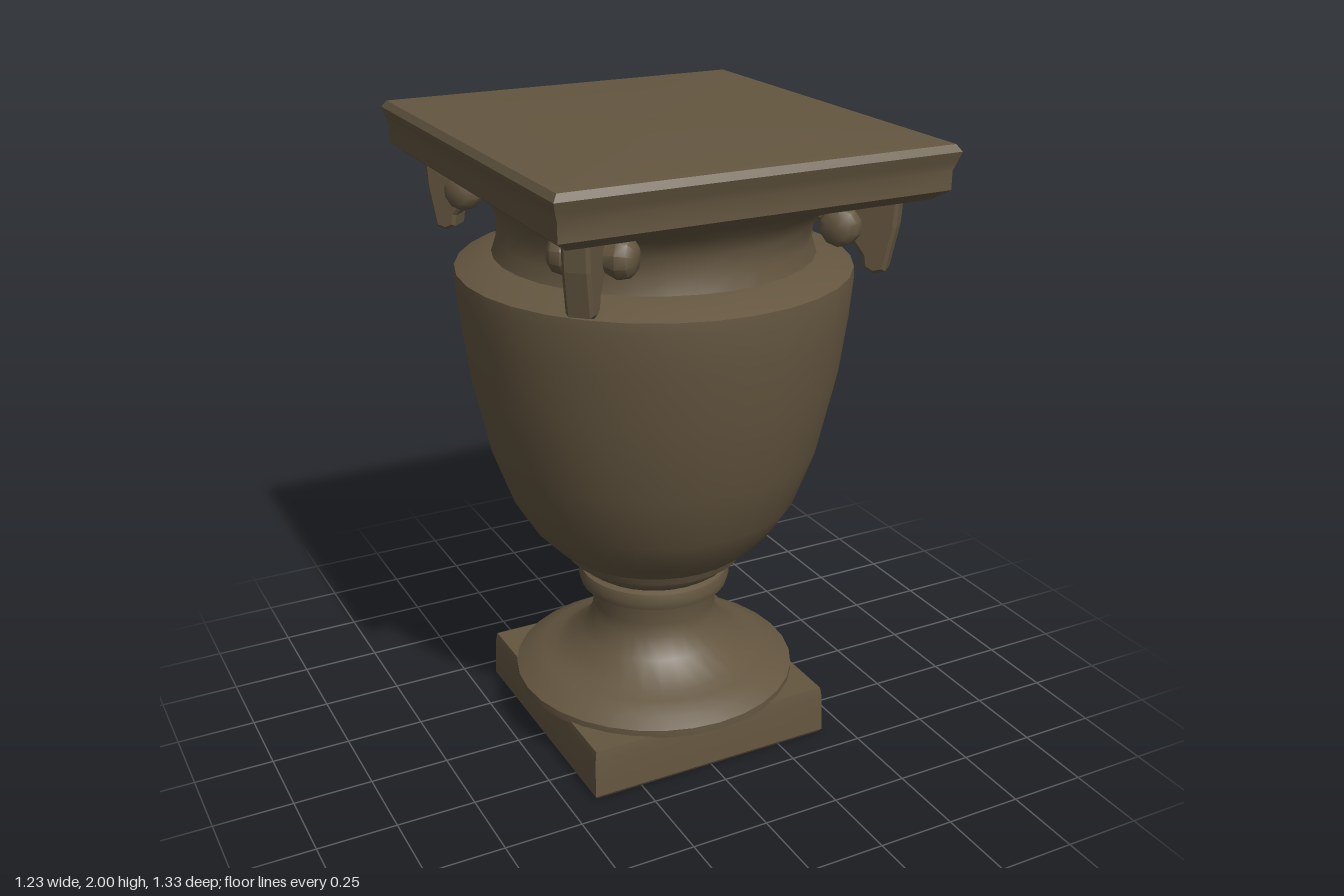
import * as THREE from 'three';
import { mergeVertices, toCreasedNormals } from 'three/addons/utils/BufferGeometryUtils.js';

const SIDES = 32;

// Loft through rings [y, halfX, halfZ, squareness]: 0 is an ellipse, 1 a rectangle
function loft(rings, crease = 0.6) {
  const pos = [], index = [];
  for (const [y, hx, hz, sq] of rings) {
    for (let j = 0; j < SIDES; j++) {
      const a = (j / SIDES) * Math.PI * 2, c = Math.cos(a), s = Math.sin(a);
      const k = 1 + sq * (1 / Math.max(Math.abs(c), Math.abs(s)) - 1);
      pos.push(c * k * hx, y, s * k * hz);
    }
  }
  for (let i = 0; i < rings.length - 1; i++) {
    for (let j = 0; j < SIDES; j++) {
      const n = (j + 1) % SIDES, a = i * SIDES, b = a + SIDES;
      index.push(a + j, b + j, a + n, b + j, b + n, a + n);
    }
  }
  const g = new THREE.BufferGeometry();
  g.setAttribute('position', new THREE.Float32BufferAttribute(pos, 3));
  g.setIndex(index);
  return toCreasedNormals(g, crease);
}

// Round part from [radius, y] points, bottom to top
function turned(points) {
  const g = new THREE.LatheGeometry(points.map(([r, y]) => new THREE.Vector2(r, y)), SIDES);
  g.deleteAttribute('normal');
  g.deleteAttribute('uv');
  return toCreasedNormals(mergeVertices(g), 0.6);
}

export function createModel() {
  const model = new THREE.Group();
  model.name = 'urn';
  const stone = new THREE.MeshStandardMaterial({ color: 0x645640 });
  stone.name = 'brown stone';

  const add = (name, geometry, parent = model) => {
    const mesh = new THREE.Mesh(geometry, stone);
    mesh.name = name;
    parent.add(mesh);
    return mesh;
  };

  // Square plinth
  add('plinth', loft([
    [0, 0.001, 0.001, 1], [0, 0.405, 0.405, 1], [0.012, 0.413, 0.413, 1],
    [0.14, 0.41, 0.41, 1], [0.17, 0.405, 0.405, 1], [0.17, 0.001, 0.001, 1],
  ]));

  // Flared round foot and stem
  add('foot', turned([
    [0.001, 0.155], [0.42, 0.155], [0.46, 0.165], [0.46, 0.19], [0.42, 0.215],
    [0.37, 0.24], [0.33, 0.25], [0.24, 0.31], [0.205, 0.38], [0.2, 0.42], [0.215, 0.5],
  ]));

  // Collar mouldings below the bowl
  add('collar', turned([
    [0.2, 0.49], [0.24, 0.495], [0.247, 0.52], [0.24, 0.548], [0.222, 0.555],
    [0.25, 0.575], [0.262, 0.6], [0.29, 0.61], [0.305, 0.645], [0.25, 0.66],
  ]));

  // Bowl with sloping shoulder
  add('bowl', turned([
    [0.2, 0.645], [0.315, 0.645], [0.345, 0.67], [0.4, 0.73], [0.455, 0.82], [0.52, 1.0],
    [0.572, 1.24], [0.595, 1.42], [0.605, 1.54], [0.603, 1.575], [0.52, 1.61], [0.46, 1.62],
  ]));

  // Neck spreading from round to the square lid
  add('neck', loft([
    [1.6, 0.495, 0.495, 0], [1.66, 0.475, 0.475, 0], [1.72, 0.47, 0.475, 0.05],
    [1.77, 0.48, 0.495, 0.2], [1.81, 0.51, 0.54, 0.55], [1.85, 0.56, 0.61, 1],
  ], 1));

  // Moulded square lid
  add('lid', loft([
    [1.84, 0.001, 0.001, 1], [1.835, 0.56, 0.61, 1], [1.865, 0.598, 0.648, 1],
    [1.92, 0.598, 0.648, 1], [1.945, 0.606, 0.656, 1], [1.975, 0.614, 0.666, 1],
    [1.995, 0.6, 0.652, 1], [2, 0.56, 0.61, 1], [2, 0.001, 0.001, 1],
  ]));

  // Corner handles: a hanging tongue flanked by two scrolls
  const outline = new THREE.Shape([
    [0.5, 1.85], [0.5, 1.76], [0.6, 1.72], [0.645, 1.66], [0.65, 1.625],
    [0.68, 1.61], [0.715, 1.62], [0.74, 1.75], [0.745, 1.85],
  ].map(([r, y]) => new THREE.Vector2(r, y)));
  const tongue = new THREE.ExtrudeGeometry(outline, {
    depth: 0.06, bevelThickness: 0.01, bevelSize: 0.01, bevelOffset: -0.01, bevelSegments: 1,
  }).translate(0, 0, -0.03);
  const scroll = toCreasedNormals(new THREE.LatheGeometry([
    [0.001, -0.125], [0.035, -0.122], [0.055, -0.105], [0.062, -0.075], [0.045, -0.04],
    [0.045, 0.04], [0.062, 0.075], [0.055, 0.105], [0.035, 0.122], [0.001, 0.125],
  ].map(([r, y]) => new THREE.Vector2(r, y)), 10), 0.7).rotateX(Math.PI / 2).translate(0.59, 1.755, 0);

  for (const [name, x, z] of [['frontLeft', 1, 1], ['frontRight', -1, 1], ['backLeft', 1, -1], ['backRight', -1, -1]]) {
    const handle = new THREE.Group();
    handle.name = name + 'Handle';
    handle.rotation.y = -Math.atan2(0.73 * z, 0.68 * x);
    add('tongue', tongue, handle);
    add('scrolls', scroll, handle);
    model.add(handle);
  }

  return model;
}
